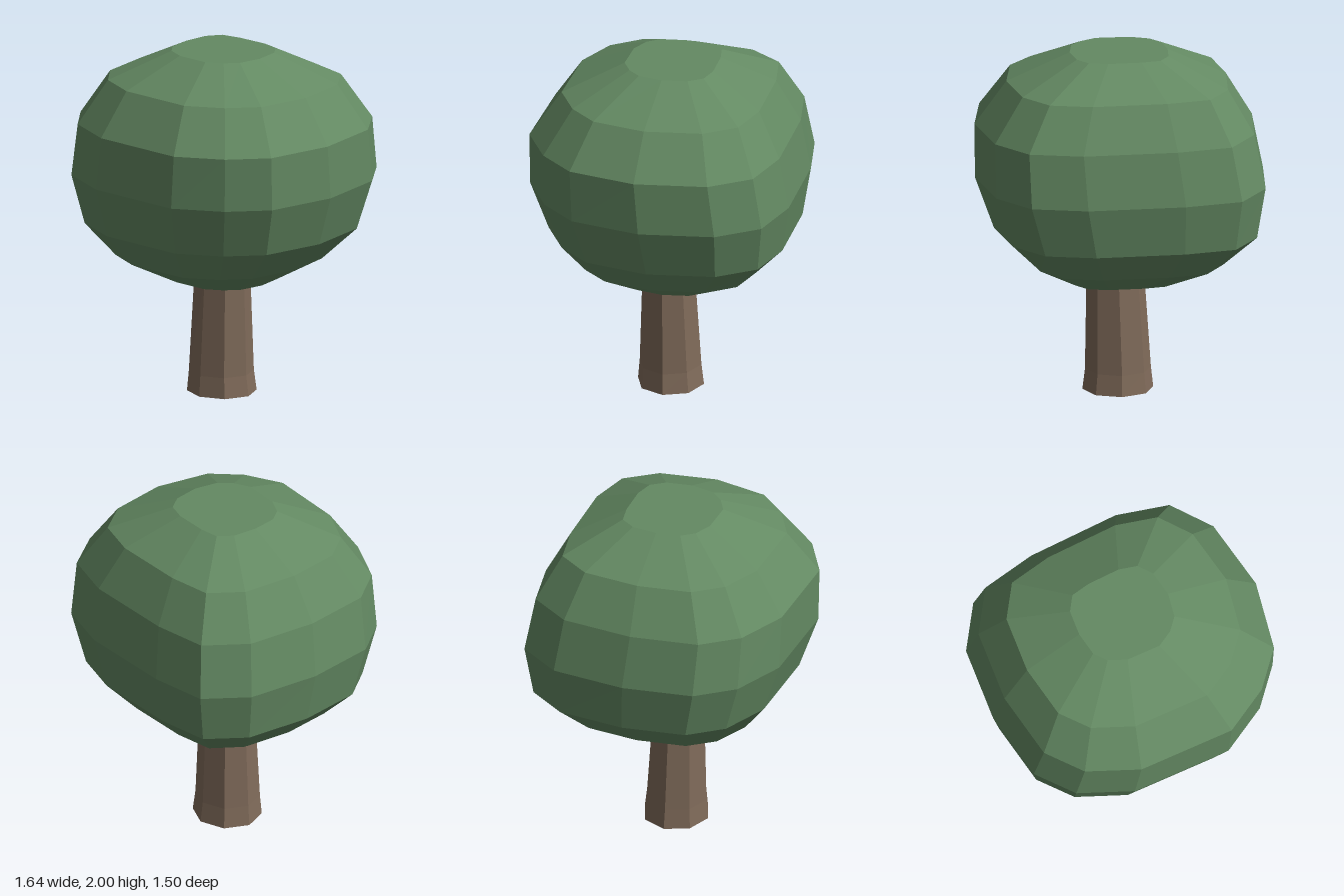
import * as THREE from 'three';

// Skin between stacked rings of [x, y, z] points, closed by flat caps
function loft(rings) {
  const pos = [];
  const n = rings[0].length;
  const tri = (...pts) => pts.forEach((p) => pos.push(...p));
  for (let k = 0; k < rings.length - 1; k++) {
    for (let i = 0; i < n; i++) {
      const j = (i + 1) % n;
      const [a, b, c, d] = [rings[k][i], rings[k][j], rings[k + 1][j], rings[k + 1][i]];
      tri(a, d, b);
      tri(b, d, c);
    }
  }
  const bottom = rings[0];
  const top = rings[rings.length - 1];
  for (let i = 1; i < n - 1; i++) {
    tri(bottom[0], bottom[i], bottom[i + 1]);
    tri(top[0], top[i + 1], top[i]);
  }
  const geo = new THREE.BufferGeometry();
  geo.setAttribute('position', new THREE.Float32BufferAttribute(pos, 3));
  geo.computeVertexNormals();
  return geo;
}

// Fit a unit outline to the extents of each level: [y, minX, maxX, minZ, maxZ]
function fitRings(outline, levels) {
  return levels.map(([y, x0, x1, z0, z1]) =>
    outline.map(([u, v]) => [
      (x0 + x1) / 2 + (u * (x1 - x0)) / 2,
      y,
      (z0 + z1) / 2 + (v * (z1 - z0)) / 2,
    ]));
}

function part(name, color, outline, levels) {
  const material = new THREE.MeshStandardMaterial({ color, flatShading: true });
  const mesh = new THREE.Mesh(loft(fitRings(outline, levels)), material);
  mesh.name = name;
  return mesh;
}

export function createModel() {
  const tree = new THREE.Group();
  tree.name = 'tree';

  // Trunk: tapered, slightly flared octagon
  const octagon = Array.from({ length: 8 }, (_, i) => {
    const a = (i * Math.PI) / 4;
    return [Math.cos(a), Math.sin(a)];
  });
  tree.add(part('trunk', 0x806b5a, octagon, [
    [0, -0.2, 0.205, -0.19, 0.195],
    [0.12, -0.187, 0.19, -0.175, 0.185],
    [0.7, -0.148, 0.18, -0.14, 0.165],
  ]));

  // Canopy: uneven rounded-square outline scaled level by level
  const outline = [
    [1, -0.01], [0.9, 0.53], [0.68, 0.8], [0.35, 1], [-0.36, 0.98],
    [-0.73, 0.8], [-0.93, 0.52], [-1, -0.02], [-0.95, -0.59],
    [-0.75, -0.91], [-0.35, -0.99], [0.33, -1], [0.71, -0.89], [0.92, -0.58],
  ];
  tree.add(part('canopy', 0x648a63, outline, [
    [0.665, -0.31, 0.29, -0.28, 0.26],
    [0.8, -0.585, 0.53, -0.53, 0.52],
    [0.985, -0.775, 0.715, -0.7, 0.66],
    [1.28, -0.825, 0.82, -0.75, 0.755],
    [1.59, -0.765, 0.82, -0.7, 0.755],
    [1.84, -0.615, 0.64, -0.565, 0.585],
    [2, -0.28, 0.28, -0.265, 0.25],
  ]));

  return tree;
}
